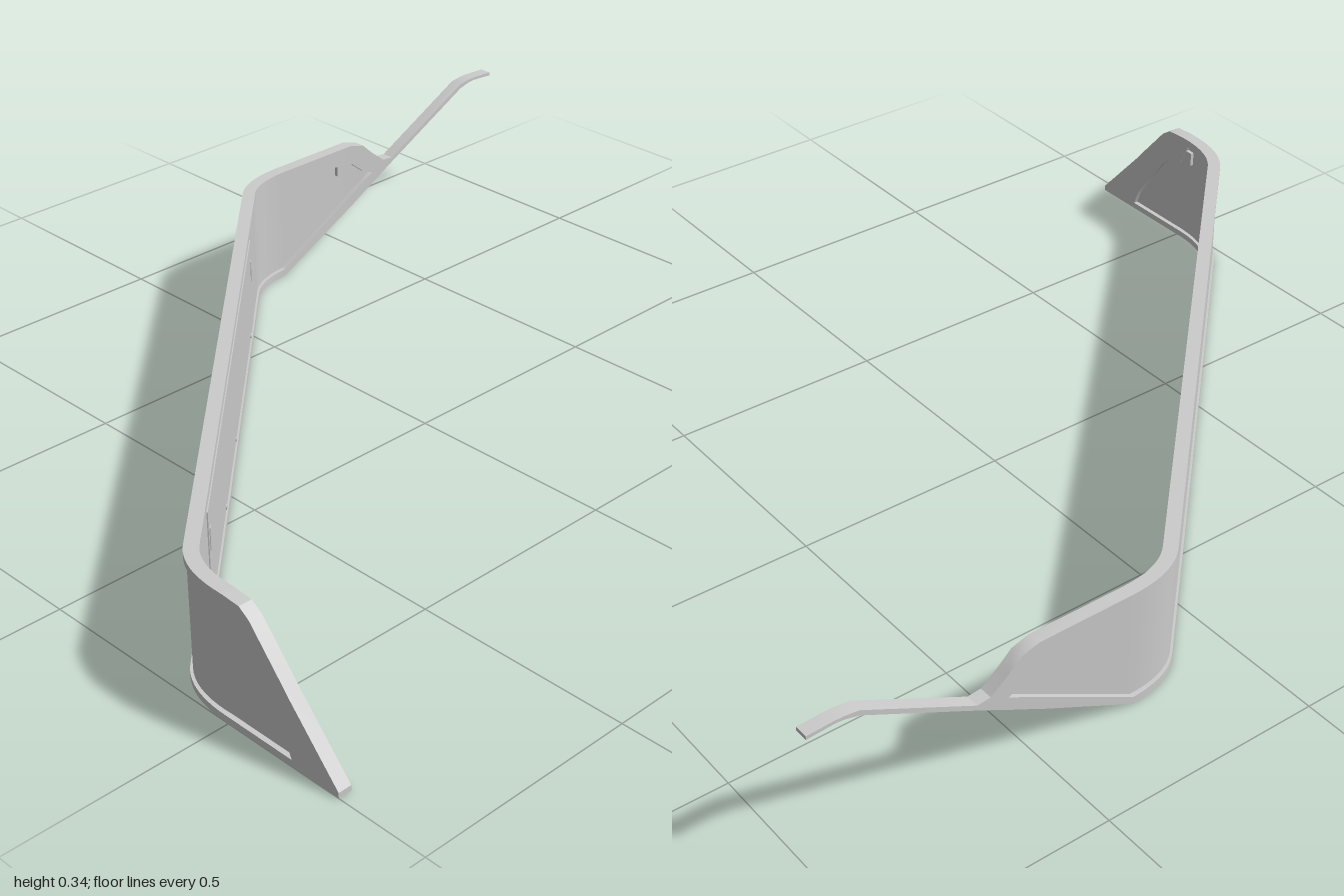
import * as THREE from 'three';
import { toCreasedNormals } from 'three/addons/utils/BufferGeometryUtils.js';

const HALF = 0.015; // half of the rim thickness

// Plan path: u = x - z runs from the short wing tip to the arm tip, with two soft 45 degree bends.
const R = 0.1;
const ramp = v => (v < -R ? 0 : v > R ? v : (v + R) ** 2 / (4 * R));
const slope = v => THREE.MathUtils.clamp((v + R) / (2 * R), 0, 1);
const BENDS = [-1.375, 0.955];

function pathAt(u) {
  const x = -0.985 + 0.5 * BENDS.reduce((s, b) => s + ramp(u - b), 0);
  const dx = 0.5 * BENDS.reduce((s, b) => s + slope(u - b), 0);
  const len = Math.hypot(dx, 1 - dx);
  return { x, z: x - u, nx: (1 - dx) / len, nz: dx / len };
}

// Stations along the path: u, bottom, top, top rim, bottom rim, web half thickness
const STATIONS = [
  [-1.775, 0, 0.012, 0.006, 0.006, 0.004],
  [-1.655, 0, 0.145, 0.13, 0.015, 0.004],
  [-1.64, 0, 0.163, 0.11, 0.015, 0.004],
  [-1.555, 0, 0.262, 0.09, 0.015, 0.004],
  [-1.53, 0, 0.279, 0.085, 0.015, 0.004],
  [-1.485, 0, 0.282, 0.07, 0.015, 0.004],
  [-1.46, 0, 0.282, 0.018, 0.015, 0.005],
  [-1.275, 0, 0.28, 0.015, 0.015, 0.01],
  [0.855, 0, 0.28, 0.015, 0.015, 0.01],
  [1.04, 0, 0.28, 0.015, 0.018, 0.004],
  [1.275, 0.118, 0.28, 0.05, 0.03, 0.004],
  [1.315, 0.14, 0.268, 0.07, 0.03, 0.004],
  [1.345, 0.155, 0.24, 0.055, 0.03, 0.004],
  [1.385, 0.177, 0.208, 0.016, 0.015, 0.004],
  [1.415, 0.193, 0.205, 0.006, 0.006, 0.004],
  [1.665, 0.322, 0.334, 0.006, 0.006, 0.004],
  [1.695, 0.33, 0.338, 0.004, 0.004, 0.004],
  [1.715, 0.332, 0.339, 0.0035, 0.0035, 0.004],
  [1.775, 0.328, 0.336, 0.004, 0.004, 0.004],
];

function stationAt(u) {
  let i = 0;
  while (i < STATIONS.length - 2 && u > STATIONS[i + 1][0]) i++;
  const a = STATIONS[i], b = STATIONS[i + 1];
  const k = (u - a[0]) / (b[0] - a[0]);
  return a.map((v, j) => v + (b[j] - v) * k);
}

// I-shaped cross-section, counter-clockwise in (offset, height)
function section([, b, t, rt, rb, w]) {
  const side = [[HALF, b], [HALF, b + rb], [w, b + rb], [w, t - rt], [HALF, t - rt], [HALF, t]];
  return [...side, ...side.map(([n, y]) => [-n, y]).reverse()];
}

// Loft the section along the path
function panelGeometry() {
  const us = STATIONS.map(s => s[0]);
  for (const b of BENDS) for (let i = 0; i <= 12; i++) us.push(b - R + (2 * R * i) / 12);
  us.sort((a, b) => a - b);
  const stops = us.filter((u, i) => i === 0 || u - us[i - 1] > 1e-4);
  const pos = [], idx = [], N = 12;
  stops.forEach((u, i) => {
    const p = pathAt(u);
    for (const [n, y] of section(stationAt(u))) pos.push(p.x + p.nx * n, y, p.z + p.nz * n);
    if (i === 0) return;
    for (let j = 0; j < N; j++) {
      const a = (i - 1) * N + j, b = (i - 1) * N + ((j + 1) % N);
      idx.push(a, a + N, b + N, a, b + N, b);
    }
  });
  const e = (stops.length - 1) * N;
  idx.push(0, 5, 6, 0, 6, 11, e, e + 6, e + 5, e, e + 11, e + 6);
  const g = new THREE.BufferGeometry();
  g.setAttribute('position', new THREE.Float32BufferAttribute(pos, 3));
  g.setIndex(idx);
  return toCreasedNormals(g, 0.5);
}

export function createModel() {
  const model = new THREE.Group();
  const grey = new THREE.MeshStandardMaterial({ color: 0xcccccc });

  const add = (parent, name, geo, x, y, z) => {
    const m = new THREE.Mesh(geo, grey);
    m.name = name;
    m.position.set(x, y, z);
    parent.add(m);
    return m;
  };

  // Bent panel with both wings and the slim arm
  add(model, 'bentPanel', panelGeometry(), 0, 0, 0);

  // Access cover on the inner face of the long straight part
  const cover = new THREE.Group();
  cover.name = 'accessCover';
  const c = pathAt(-0.2);
  cover.position.set(c.x, 0, c.z);
  cover.rotation.y = Math.PI / 4;
  model.add(cover);
  add(cover, 'coverPlate', new THREE.BoxGeometry(1.17, 0.21, 0.004), 0, 0.13, 0.0105);
  for (const s of [-1, 1]) {
    add(cover, 'latch', new THREE.BoxGeometry(0.014, 0.05, 0.004), s * 0.565, 0.165, 0.0123);
  }

  // Screw heads along the cover and one beside it
  const screw = new THREE.CylinderGeometry(0.006, 0.006, 0.004, 12).rotateX(Math.PI / 2);
  for (const x of [-0.25, 0.02, 0.49]) add(cover, 'screw', screw, x, 0.033, 0.0123);
  add(cover, 'screw', screw, -0.7, 0.155, 0.0103);

  // Small clip blocks inside the two wings
  for (const [u, y] of [[-1.465, 0.233], [1.245, 0.228]]) {
    const p = pathAt(u);
    const clip = add(model, 'clip', new THREE.BoxGeometry(0.036, 0.034, 0.012),
      p.x + p.nx * 0.008, y, p.z + p.nz * 0.008);
    clip.rotation.y = Math.atan2(p.nx, p.nz);
  }
  return model;
}
